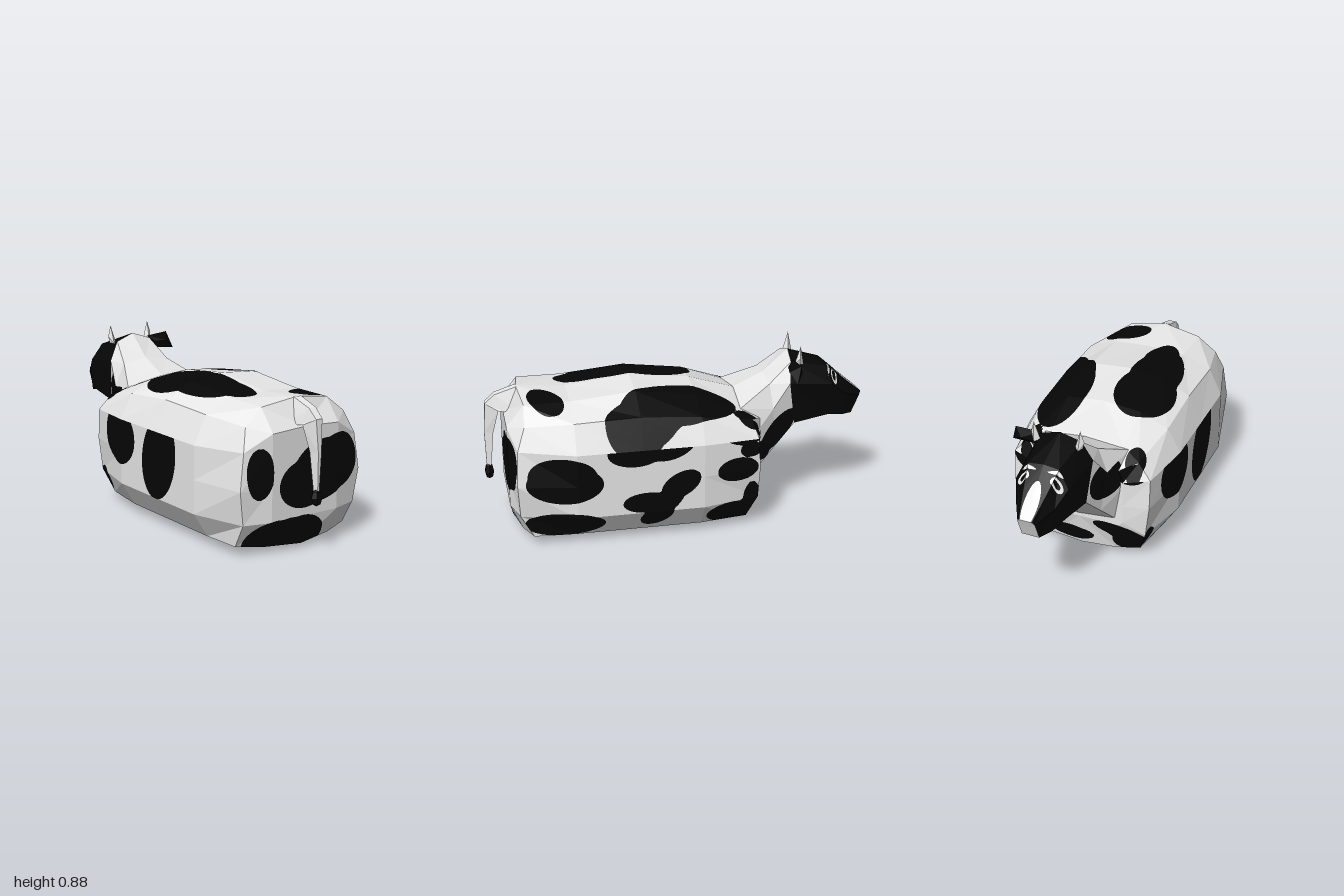
import * as THREE from 'three';
import { ConvexGeometry } from 'three/addons/geometries/ConvexGeometry.js';

const white = new THREE.MeshStandardMaterial({ color: 0xeeeeee });
white.name = 'white hide';
const black = new THREE.MeshStandardMaterial({ color: 0x060606 });
black.name = 'black hide';

// Triangles of a symmetric loft. Rings run from +z to -z; each lists its +x half from top to bottom.
function loft(halfRings) {
  const rings = halfRings.map((h) => {
    const half = h.map((p) => new THREE.Vector3(...p));
    const mirror = half.slice(1, -1).reverse().map((p) => new THREE.Vector3(-p.x, p.y, p.z));
    return [...half, ...mirror];
  });
  const n = rings[0].length, tris = [];
  for (let i = 0; i < rings.length - 1; i++) {
    for (let j = 0; j < n; j++) {
      const k = (j + 1) % n;
      const a = rings[i][j], b = rings[i][k], c = rings[i + 1][k], d = rings[i + 1][j];
      if (j < n / 2) tris.push([a, b, c], [a, c, d]);
      else tris.push([a, b, d], [b, c, d]);
    }
  }
  const cap = (ring, flip) => {
    const mid = ring.reduce((s, p) => s.add(p), new THREE.Vector3()).divideScalar(n);
    ring.forEach((p, j) => {
      const q = ring[(j + 1) % n];
      tris.push(flip ? [mid, q, p] : [mid, p, q]);
    });
  };
  cap(rings[0], true);
  cap(rings[rings.length - 1], false);
  return tris;
}

// Signed field of the patches: negative is black. Patch: [u, v, radiusU, radiusV, angle, isWhite]
function field(u, v, base, patches) {
  let f = base;
  for (const [cu, cv, ru, rv, ang = 0, isWhite] of patches) {
    const c = Math.cos(ang), s = Math.sin(ang), x = u - cu, y = v - cv;
    const d = Math.hypot((x * c + y * s) / ru, (y * c - x * s) / rv) - 1;
    f = isWhite ? Math.max(f, -d) : Math.min(f, d);
  }
  return f;
}

// Cuts facets along patch outlines; patches are projected along each facet's main axis, favouring the top.
function painted(name, tris, step, spec) {
  const out = [[], []];
  const clip = (poly, sign, list) => {
    const r = [];
    poly.forEach((p, i) => {
      const q = poly[(i + 1) % 3], fp = p.f * sign, fq = q.f * sign;
      if (fp >= 0) r.push(p.v);
      if (fp * fq < 0) r.push(p.v.clone().lerp(q.v, fp / (fp - fq)));
    });
    for (let i = 1; i < r.length - 1; i++) {
      for (const v of [r[0], r[i], r[i + 1]]) list.push(v.x, v.y, v.z);
    }
  };
  for (const [a, b, c] of tris) {
    const ab = b.clone().sub(a), ac = c.clone().sub(a), nrm = ab.clone().cross(ac);
    if (nrm.length() < 1e-7) continue;
    const m = [nrm.x, nrm.y > 0 ? nrm.y * 3 : nrm.y, nrm.z], abs = m.map(Math.abs);
    const axis = abs.indexOf(Math.max(...abs));
    const { base = 1, patches = [] } = spec[(m[axis] > 0 ? '+' : '-') + 'xyz'[axis]] || {};
    const n = Math.ceil(Math.max(ab.length(), ac.length(), b.distanceTo(c)) / step);
    const at = (i, j) => {
      const v = a.clone().addScaledVector(ab, i / n).addScaledVector(ac, j / n);
      const u = axis === 0 ? v.z : v.x, w = axis === 1 ? v.z : v.y;
      return { v, f: field(u, w, base, patches) || 1e-6 };
    };
    for (let i = 0; i < n; i++) {
      for (let j = 0; j < n - i; j++) {
        const cells = [[at(i, j), at(i + 1, j), at(i, j + 1)]];
        if (i + j < n - 1) cells.push([at(i + 1, j), at(i + 1, j + 1), at(i, j + 1)]);
        for (const t of cells) { clip(t, 1, out[0]); clip(t, -1, out[1]); }
      }
    }
  }
  const g = new THREE.BufferGeometry();
  g.setAttribute('position', new THREE.Float32BufferAttribute([...out[0], ...out[1]], 3));
  g.addGroup(0, out[0].length / 3, 0);
  g.addGroup(out[0].length / 3, out[1].length / 3, 1);
  g.computeVertexNormals();
  const mesh = new THREE.Mesh(g, [white, black]);
  mesh.name = name;
  return mesh;
}

export function createModel() {
  const group = new THREE.Group();
  group.name = 'cow';
  const add = (name, geometry, material) => {
    const mesh = new THREE.Mesh(geometry, material);
    mesh.name = name;
    group.add(mesh);
    return mesh;
  };

  // Body: rump cap, five barrel rings, chest cap
  const barrel = (z, top, shoulder, flank) => [[0, top, z], [0.2, shoulder, z], [0.35, flank, z],
    [0.42, 0.51, z], [0.42, 0.34, z], [0.42, 0.17, z], [0.34, 0.045, z], [0.2, 0, z], [0, 0, z]];
  const body = [
    [[0, 0.61], [0.2, 0.6], [0.2, 0.6], [0.2, 0.51], [0.2, 0.34], [0.2, 0.17], [0.2, 0.17], [0.2, 0.17], [0, 0.17]]
      .map(([x, y]) => [x, y, 0.89]),
    [[0, 0.74, 0.82], [0.2, 0.71, 0.8], [0.3, 0.63, 0.81], [0.34, 0.52, 0.85], [0.365, 0.34, 0.86],
      [0.34, 0.17, 0.85], [0.335, 0.05, 0.785], [0.2, 0.035, 0.83], [0, 0.025, 0.865]],
    barrel(0.57, 0.72, 0.71, 0.65),
    barrel(0.24, 0.755, 0.74, 0.66),
    barrel(-0.07, 0.72, 0.7, 0.635),
    [[0, 0.65, -0.3], [0.2, 0.62, -0.29], [0.3, 0.58, -0.34], [0.37, 0.5, -0.36], [0.37, 0.34, -0.37],
      [0.35, 0.17, -0.365], [0.305, 0.045, -0.315], [0.18, 0.035, -0.345], [0, 0.03, -0.36]],
    [[0, 0.6], [0.2, 0.57], [0.22, 0.55], [0.24, 0.48], [0.24, 0.34], [0.24, 0.24], [0.22, 0.22], [0.2, 0.22], [0, 0.22]]
      .map(([x, y]) => [x, y, -0.4]),
  ];
  group.add(painted('body', loft(body), 0.03, {
    '+y': { patches: [[-0.16, 0.1, 0.155, 0.21], [-0.15, 0.28, 0.13, 0.28, -0.06], [-0.11, 0.46, 0.085, 0.16],
      [0.24, 0, 0.13, 0.27, -0.08], [0.28, 0.15, 0.13, 0.2, -0.35], [0.34, 0.24, 0.1, 0.18, -0.15],
      [0.17, 0.69, 0.125, 0.08, -0.4], [-0.28, -0.33, 0.05, 0.07], [0.29, -0.33, 0.05, 0.07]] },
    '-y': { patches: [[0.04, 0.04, 0.21, 0.19, 0.7], [0.12, 0.7, 0.23, 0.13, 0.7], [-0.22, 0.5, 0.14, 0.1, 0.7],
      [-0.25, 0.04, 0.14, 0.09, 0.7], [-0.22, 0.83, 0.12, 0.08]] },
    '+x': { patches: [[0.64, 0.39, 0.17, 0.1], [0.63, 0.35, 0.19, 0.1], [0.63, 0.12, 0.2, 0.075], [0.28, 0.5, 0.14, 0.075],
      [0.1, 0.53, 0.13, 0.08, -0.3], [0.05, 0.31, 0.11, 0.065, -0.5], [0.22, 0.225, 0.125, 0.055],
      [0.12, 0.23, 0.11, 0.06, -0.7], [0.17, 0.14, 0.09, 0.06, -0.5], [-0.25, 0.35, 0.11, 0.065],
      [-0.27, 0.53, 0.1, 0.05, 0.2], [-0.32, 0.45, 0.06, 0.04], [-0.22, 0.1, 0.13, 0.07], [-0.33, 0.15, 0.05, 0.12]] },
    '-x': { patches: [[-0.1, 0.42, 0.155, 0.15], [0.27, 0.38, 0.14, 0.22, -0.25], [-0.33, 0.13, 0.05, 0.07]] },
    '+z': { patches: [[0, 0.33, 0.155, 0.12], [0.1, 0.385, 0.19, 0.145, 0.35], [0.12, 0.36, 0.19, 0.125, 0.3],
      [0.21, 0.41, 0.135, 0.14], [-0.26, 0.41, 0.07, 0.125], [-0.17, 0.06, 0.14, 0.115], [-0.085, 0.06, 0.15, 0.115],
      [-0.01, 0.06, 0.145, 0.115]] },
    '-z': { patches: [[-0.2, 0.17, 0.13, 0.045, 0.2], [-0.27, 0.1, 0.1, 0.075], [0.06, 0.09, 0.13, 0.045],
      [-0.28, 0.52, 0.07, 0.05], [0.31, 0.5, 0.06, 0.07], [0.3, 0.33, 0.05, 0.05], [0.3, 0.13, 0.05, 0.09]] },
  }));

  // Neck
  const poll = [[0, 0.835, -0.6], [0.105, 0.8, -0.59], [0.158, 0.7, -0.575], [0.135, 0.47, -0.61], [0, 0.44, -0.61]];
  group.add(painted('neck', loft([
    [[0, 0.64, -0.3], [0.23, 0.61, -0.29], [0.25, 0.46, -0.36], [0.2, 0.25, -0.39], [0, 0.23, -0.39]],
    [[0, 0.72, -0.47], [0.14, 0.7, -0.47], [0.19, 0.58, -0.48], [0.165, 0.36, -0.5], [0, 0.335, -0.5]],
    poll,
  ]), 0.025, {
    '+x': { patches: [[-0.51, 0.45, 0.14, 0.06, -0.8], [-0.42, 0.36, 0.05, 0.06]] },
    '-x': { patches: [[-0.48, 0.54, 0.11, 0.11]] },
    '-z': { patches: [[0.13, 0.34, 0.08, 0.06]] },
    '-y': { patches: [[0.13, -0.48, 0.08, 0.06]] },
  }));

  // Head: black with pale blaze, eyes, jaw and muzzle
  const marks = [[0, -0.94, 0.037, 0.09, 0, true]];
  for (const s of [-1, 1]) {
    marks.push([s * 0.085, -0.832, 0.032, 0.017, s * 0.2, true], [s * 0.085, -0.832, 0.018, 0.009, s * 0.2],
      [s * 0.07, -0.803, 0.045, 0.006, s * 0.2, true]);
  }
  const dark = { base: -1 };
  group.add(painted('head', loft([
    poll,
    [[0, 0.765, -0.79], [0.08, 0.755, -0.79], [0.135, 0.67, -0.81], [0.115, 0.495, -0.8], [0, 0.485, -0.8]],
    [[0, 0.675, -0.89], [0.06, 0.67, -0.89], [0.1, 0.6, -0.89], [0.085, 0.475, -0.89], [0, 0.475, -0.89]],
    [[0, 0.58, -1], [0.035, 0.58, -1], [0.045, 0.56, -0.99], [0.045, 0.465, -0.95], [0, 0.465, -0.95]],
  ]), 0.01, {
    '+x': dark, '-x': dark, '+z': dark, '+y': { base: -1, patches: marks },
    '-z': { base: -1, patches: [[0, 0.52, 0.08, 0.08, 0, true]] },
    '-y': { patches: [[0.02, -0.72, 0.09, 0.08]] },
  }));

  // Horns
  for (const s of [-1, 1]) {
    const p = (x, y, z) => new THREE.Vector3(s * x, y, z);
    add(s > 0 ? 'leftHorn' : 'rightHorn', new ConvexGeometry([p(0.09, 0.79, -0.63), p(0.115, 0.785, -0.605),
      p(0.115, 0.785, -0.655), p(0.13, 0.79, -0.63), p(0.138, 0.825, -0.63), p(0.11, 0.83, -0.625), p(0.12, 0.885, -0.635)]), white);
  }

  // Single ear, widening outwards
  add('leftEar', new ConvexGeometry([[0.1, 0.81, -0.6], [0.13, 0.74, -0.6], [0.13, 0.78, -0.57], [0.23, 0.82, -0.61],
    [0.26, 0.73, -0.585], [0.2, 0.78, -0.555], [0.2, 0.77, -0.625]].map((p) => new THREE.Vector3(...p))), black);

  // Tail: half width, then outer and inner edge as y, z
  const tail = [[0.011, 0.29, 0.985, 0.29, 0.965], [0.024, 0.5, 0.99, 0.5, 0.945], [0.046, 0.66, 0.98, 0.625, 0.915],
    [0.052, 0.705, 0.93, 0.62, 0.885], [0.056, 0.74, 0.82, 0.64, 0.84]];
  group.add(painted('tail', loft(tail.map(([w, oy, oz, iy, iz]) =>
    [[0, oy, oz], [w * 0.4, oy, oz], [w, iy, iz], [0, iy, iz]])), 1, {}));
  const tuft = new THREE.SphereGeometry(0.032, 6, 4).toNonIndexed();
  tuft.scale(1, 1.35, 0.8);
  tuft.computeVertexNormals();
  add('tailTuft', tuft, black).position.set(0, 0.28, 0.974);

  return group;
}
